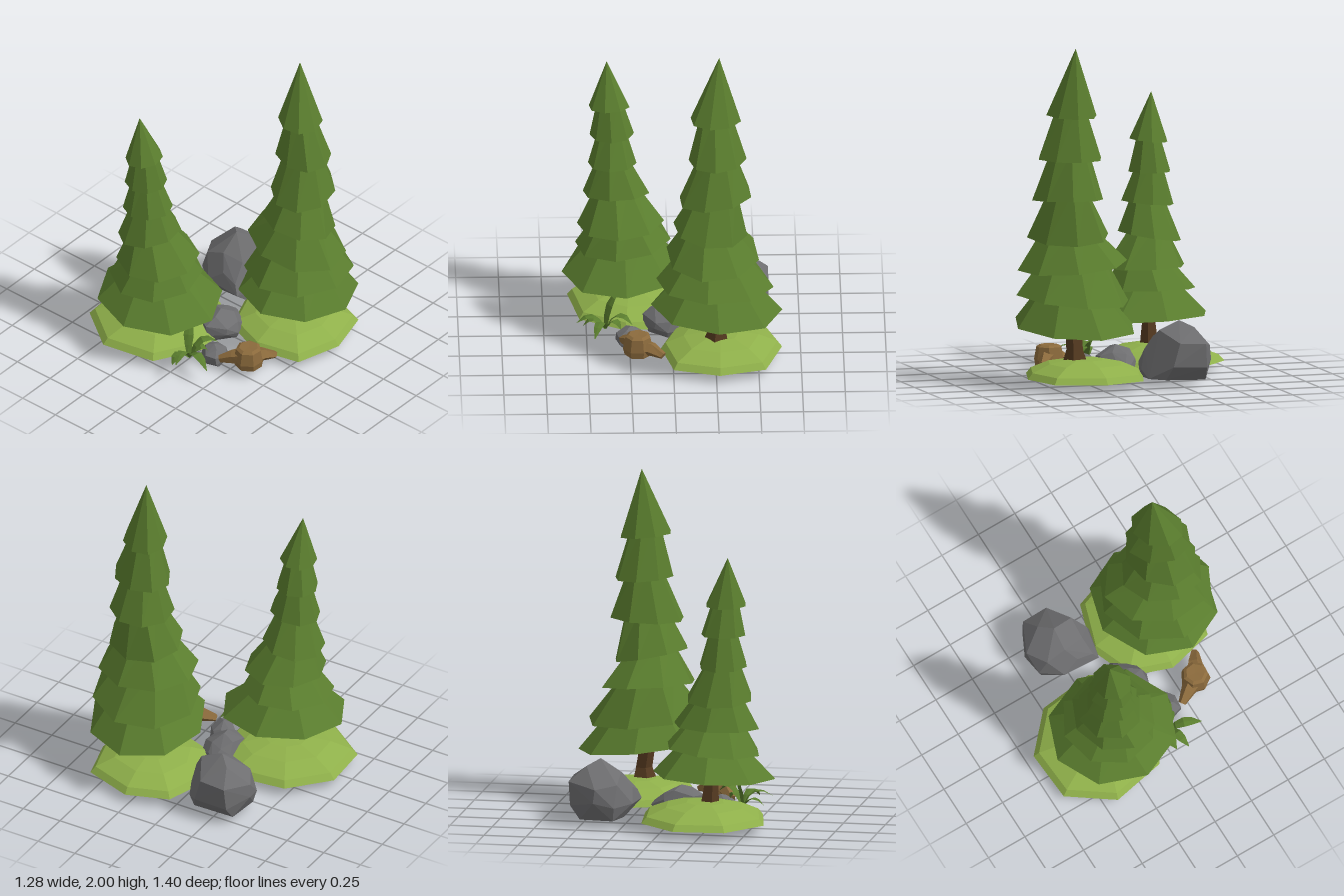
import * as THREE from 'three';
import { ConvexGeometry } from 'three/addons/geometries/ConvexGeometry.js';

const V = (x, y, z) => new THREE.Vector3(x, y, z);

function material(name, color) {
  const m = new THREE.MeshStandardMaterial({ color });
  m.name = name;
  return m;
}

// Elliptical ring of n points, tilted by tx and tz, stretched diagonally by skew
function ring(x, y, z, rx, rz = rx, n = 8, rot = 0, tx = 0, tz = 0, skew = 0) {
  return Array.from({ length: n }, (_, i) => {
    const a = rot + (i / n) * Math.PI * 2, c = Math.cos(a), s = Math.sin(a);
    return V(x + rx * c - skew * s, y + tx * c + tz * s, z + rz * s - skew * c);
  });
}

const point = (x, y, z, n = 8) => Array.from({ length: n }, () => V(x, y, z));

// Flat-faced skin through rings listed from bottom to top
function loft(rings) {
  const pos = [];
  const tri = (a, b, c) => {
    if (a.distanceTo(b) < 1e-6 || b.distanceTo(c) < 1e-6 || a.distanceTo(c) < 1e-6) return;
    for (const p of [a, b, c]) pos.push(p.x, p.y, p.z);
  };
  for (let k = 0; k + 1 < rings.length; k++) {
    const b = rings[k], t = rings[k + 1], n = b.length;
    for (let i = 0; i < n; i++) {
      const j = (i + 1) % n;
      tri(b[i], t[i], b[j]);
      tri(t[i], t[j], b[j]);
    }
  }
  const g = new THREE.BufferGeometry();
  g.setAttribute('position', new THREE.Float32BufferAttribute(pos, 3));
  g.computeVertexNormals();
  return g;
}

// Tapering limb along a bent path: widths at each step, flatness of the section
function limb(path, widths, flat, n) {
  const curve = new THREE.QuadraticBezierCurve3(...path.map(p => V(...p)));
  const rings = widths.map((w, k) => {
    const t = k / (widths.length - 1), c = curve.getPoint(t), d = curve.getTangent(t);
    const side = d.clone().cross(V(0, 1, 0)).normalize(), up = side.clone().cross(d);
    return Array.from({ length: n }, (_, i) => {
      const a = (i / n) * Math.PI * 2;
      return c.clone().addScaledVector(side, w * Math.cos(a)).addScaledVector(up, w * flat * Math.sin(a));
    });
  });
  const a = curve.getPoint(0), b = curve.getPoint(1);
  return loft([point(a.x, a.y, a.z, n), ...rings, point(b.x, b.y, b.z, n)]);
}

// Rock outline, centred at the origin when shifted by ROCK_CENTRE
const ROCK_CENTRE = V(0.38, 0.21, -0.235);
const ROCK = [
  [.19, .12, -.07], [.21, .18, -.1], [.2, .13, -.3], [.22, .21, -.2], [.27, .05, -.05],
  [.375, .1, -.025], [.44, .05, -.05], [.36, .22, -.05], [.3, .28, -.12], [.42, .335, -.12],
  [.4, .385, -.25], [.28, .3, -.25], [.47, .35, -.32], [.57, .27, -.2], [.57, .26, -.36],
  [.57, .13, -.16], [.56, .12, -.37], [.41, .15, -.445], [.4, .23, -.44], [.29, .12, -.42],
  [.3, .04, -.4], [.5, .04, -.38], [.52, .05, -.13], [.25, .05, -.3], [.28, .25, -.37],
];

// Needle tiers: x min, x max, z min, z max, height, tilt x, tilt z, turn
const TALL_TIERS = [
  [-.13, .64, -.01, .70, .36, -.04, .0, -.06],
  [-.10, .59, .03, .685, .525, -.025, .02, .1],
  [-.04, .505, .04, .665, .715, -.015, -.03, .2],
  [0, .435, .14, .615, .89, -.04, -.01, .1],
  [.035, .46, .195, .58, 1.105, .015, .0, .25],
  [.09, .43, .19, .565, 1.35, -.005, .0, 0],
  [.10, .40, .225, .505, 1.605, -.01, .0, .15],
];
const SHORT_TIERS = [
  [-.64, .08, -.65, .12, .315, .015, -.015, -.05],
  [-.56, 0, -.565, -.02, .475, .025, 0, .15],
  [-.55, -.04, -.51, -.025, .61, .01, -.005, .05],
  [-.515, -.125, -.49, -.13, .785, 0, .03, .2],
  [-.485, -.20, -.46, -.15, .98, 0, .015, .1],
  [-.475, -.215, -.445, -.19, 1.165, 0, 0, 0],
  [-.48, -.24, -.425, -.21, 1.345, 0, .01, .2],
];

export function createModel() {
  const group = new THREE.Group();
  const needles = material('needle green', 0x5a7d2e);
  const grass = material('grass green', 0x8fb04a);
  const bark = material('dark bark', 0x553a20);
  const wood = material('cut wood', 0x8b6a3c);
  const stone = material('grey stone', 0x6e6e70);

  const add = (name, geometry, mat, parent = group) => {
    const mesh = new THREE.Mesh(geometry, mat);
    mesh.name = name;
    parent.add(mesh);
    return mesh;
  };
  const subgroup = name => {
    const g = new THREE.Group();
    g.name = name;
    group.add(g);
    return g;
  };

  // Trees: each hollow-bottomed tier tapers up inside the tier above
  function tree(name, tiers, skew, apex, trunk) {
    const g = subgroup(name);
    const spec = tiers.map(([x0, x1, z0, z1, y, tx, tz, turn]) => ({
      x: (x0 + x1) / 2, z: (z0 + z1) / 2, y, tx, tz, turn,
      rx: (x1 - x0) / 2 / Math.cos(turn), rz: (z1 - z0) / 2 / Math.cos(turn),
    }));
    spec.forEach((s, i) => {
      const up = spec[i + 1];
      const top = up
        ? [ring(up.x, up.y + .06, up.z, up.rx * .55, up.rz * .55, 8, s.turn, up.tx * .5, up.tz * .5, skew * .55),
          point(up.x, up.y + .06, up.z)]
        : [point(...apex)];
      add('needleTier' + (i + 1), loft([
        point(s.x, s.y + (i ? .05 : .1), s.z),
        ring(s.x, s.y, s.z, s.rx, s.rz, 8, s.turn, s.tx, s.tz, skew), ...top,
      ]), needles, g);
    });
    const rings = trunk.map(([x, y, z, r]) => ring(x, y, z, r, r, 5, .5));
    const [bx, by, bz] = trunk[0];
    add('trunk', loft([point(bx, by, bz, 5), ...rings]), bark, g);
  }
  tree('tallTree', TALL_TIERS, .015, [.27, 2, .345],
    [[.25, .085, .33, .07], [.255, .15, .34, .075], [.26, .22, .345, .052], [.235, .38, .345, .05], [.24, .5, .345, .045]]);
  tree('shortTree', SHORT_TIERS, .004, [-.375, 1.63, -.34],
    [[-.25, .085, -.29, .06], [-.255, .15, -.29, .058], [-.265, .28, -.29, .042], [-.275, .45, -.29, .04]]);

  // Grass mounds: irregular rim, low crown, hollow underside
  function mound(name, rim, x, z) {
    const at = (k, y) => rim.map(([px, pz]) => V(x + (px - x) * k, y, z + (pz - z) * k));
    add(name, loft([
      point(x, .1, z, rim.length), at(.76, .1), at(1, .055), at(.92, .092), at(.62, .14), at(.3, .163),
      point(x, .166, z, rim.length),
    ]), grass);
  }
  mound('frontMound', [[.64, .27], [.54, .565], [.27, .64], [0, .56], [-.07, .28], [.02, .03], [.27, -.07], [.55, .02]], .28, .29);
  mound('backMound', [[.15, -.165], [.02, .02], [-.27, .05], [-.54, -.1], [-.605, -.425], [-.42, -.685], [-.115, -.705], [.11, -.5]], -.24, -.31);

  // Rocks
  const rock = new ConvexGeometry(ROCK.map(p => V(...p).sub(ROCK_CENTRE)));
  for (const [name, x, y, z, sx, sy, sz, turn] of [
    ['largeRock', ROCK_CENTRE.x, ROCK_CENTRE.y, ROCK_CENTRE.z, 1, 1, 1, 0],
    ['mediumRock', -.02, .115, -.005, .68, .46, .62, 2.6],
    ['smallRock', -.237, .06, .115, .48, .35, .4, 3.4],
  ]) {
    const m = add(name, rock, stone);
    m.position.set(x, y, z);
    m.scale.set(sx, sy, sz);
    m.rotation.y = turn;
  }

  // Stump with a bevelled cut and broad spreading roots
  const stump = subgroup('stump');
  const sx = -.205, sz = .35;
  add('stumpBody', loft([
    point(sx, .05, sz, 7), ring(sx, .06, sz, .08, .082, 7, .3), ring(sx, .1, sz, .09, .088, 7, .3),
    ring(sx, .175, sz, .075, .075, 7, .3), ring(sx, .187, sz, .056, .056, 7, .3), point(sx, .185, sz, 7),
  ]), wood, stump);
  for (const path of [
    [[-.2, .11, .36], [-.12, .12, .39], [-.06, .085, .435]],
    [[-.215, .12, .34], [-.255, .11, .27], [-.295, .08, .205]],
  ]) add('root', limb(path, [.065, .045, .024], .9, 5), wood, stump);

  // Leafy plant: arching blades from one base
  const plant = subgroup('leafyPlant');
  const base = [-.39, .07, .05];
  for (const [bend, tip] of [
    [[-.45, .22, .06], [-.56, .13, .09]],
    [[-.42, .22, .13], [-.455, .1, .24]],
    [[-.38, .25, .03], [-.315, .275, .0]],
    [[-.32, .25, .08], [-.235, .14, .14]],
    [[-.46, .17, .01], [-.52, .08, .03]],
    [[-.33, .2, .1], [-.3, .1, .12]],
  ]) add('leaf', limb([base, bend, tip], [.01, .022, .03, .024, .002], .14, 4), needles, plant);

  return group;
}
